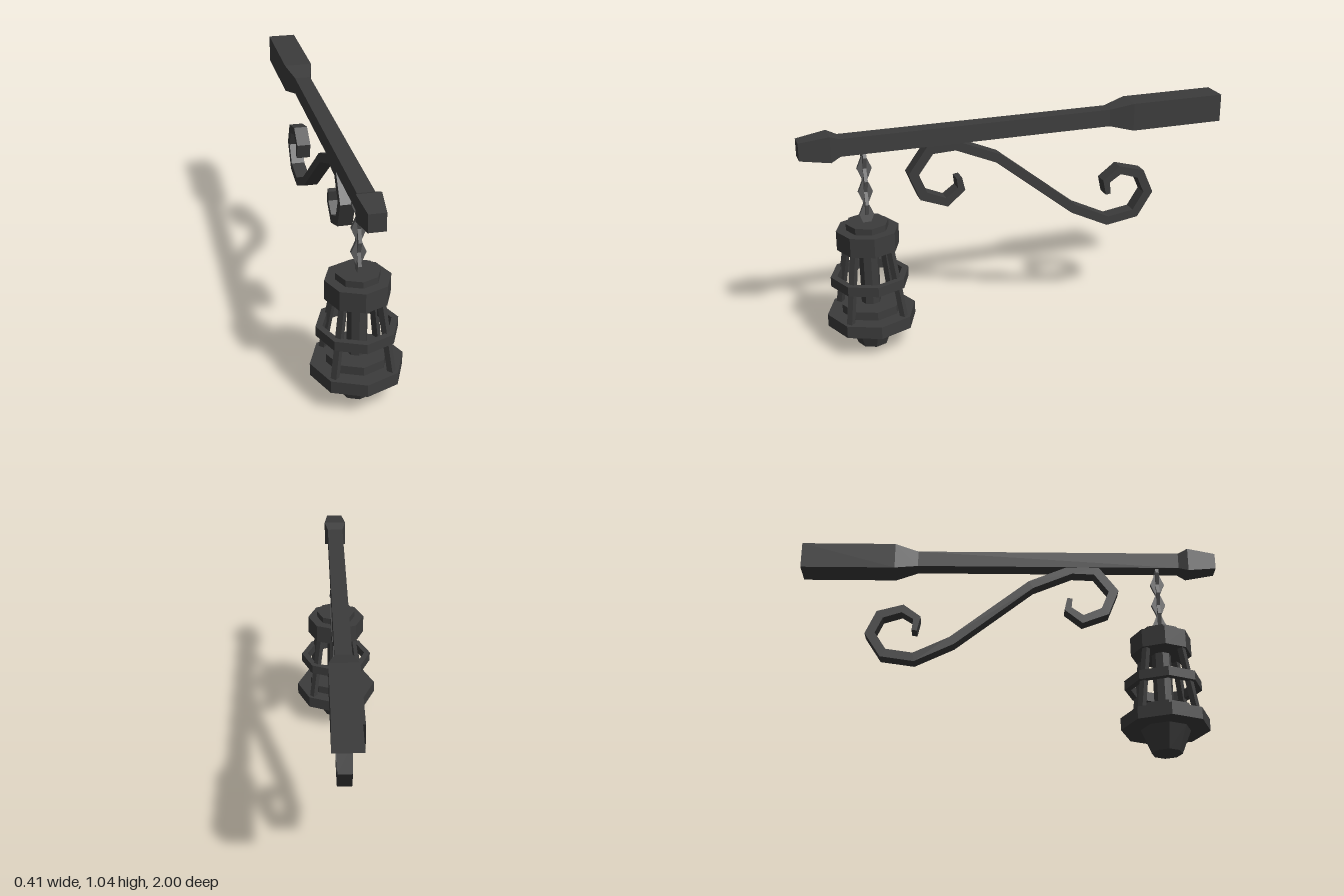
import * as THREE from 'three';

const iron = new THREE.MeshStandardMaterial({ color: 0x3c3c3c, flatShading: true, side: THREE.DoubleSide });
const steel = new THREE.MeshStandardMaterial({ color: 0x5c5c5c, flatShading: true });

function add(parent, name, geometry, material = iron) {
  const mesh = new THREE.Mesh(geometry, material);
  mesh.name = name;
  parent.add(mesh);
  return mesh;
}

// Rectangular tube through sections [z, halfWidth, halfHeight]; open at the back, closed at the front
function beamGeometry(sections, cy) {
  const corners = [[1, -1], [1, 1], [-1, 1], [-1, -1]];
  const pos = [];
  const index = [];
  for (const [z, w, h] of sections)
    for (const [sx, sy] of corners) pos.push(sx * w, cy + sy * h, z);
  for (let s = 0; s < sections.length - 1; s++)
    for (let i = 0; i < 4; i++) {
      const a = s * 4 + i, b = s * 4 + (i + 1) % 4;
      index.push(a, b, b + 4, a, b + 4, a + 4);
    }
  const e = (sections.length - 1) * 4;
  index.push(e, e + 1, e + 2, e, e + 2, e + 3);
  const g = new THREE.BufferGeometry();
  g.setAttribute('position', new THREE.Float32BufferAttribute(pos, 3));
  g.setIndex(index);
  g.computeVertexNormals();
  return g;
}

// Flat bar following a path with mitred corners, narrower towards both ends
function scrollGeometry(path, half, depth) {
  const pts = path.map(p => new THREE.Vector2(...p));
  const left = [], right = [];
  const last = pts.length - 1;
  pts.forEach((p, i) => {
    const d1 = pts[Math.max(i, 1)].clone().sub(pts[Math.max(i, 1) - 1]).normalize();
    const j = Math.min(i, last - 1);
    const d2 = pts[j + 1].clone().sub(pts[j]).normalize();
    const t = d1.clone().add(d2).normalize();
    const taper = Math.min(1, 0.6 + 0.14 * Math.min(i, last - i));
    const k = half * taper / Math.max(0.6, t.dot(d1));
    const n = new THREE.Vector2(-t.y, t.x).multiplyScalar(k);
    left.push(p.clone().add(n));
    right.unshift(p.clone().sub(n));
  });
  const g = new THREE.ExtrudeGeometry(new THREE.Shape([...left, ...right]), { depth, bevelEnabled: false });
  return g.translate(0, 0, -depth / 2).rotateY(-Math.PI / 2);
}

// Eight-sided solid between two heights
function octagon(parent, name, y0, y1, r0, r1 = r0) {
  add(parent, name, new THREE.CylinderGeometry(r1, r0, y1 - y0, 8)).position.y = (y0 + y1) / 2;
}

export function createModel() {
  const root = new THREE.Group();
  root.name = 'hangingLantern';

  // Horizontal beam with thick socket and flared tip
  add(root, 'beam', beamGeometry([
    [-1, 0.065, 0.065], [-0.55, 0.065, 0.065], [-0.44, 0.037, 0.04],
    [0.82, 0.037, 0.04], [0.865, 0.052, 0.059], [1, 0.037, 0.04],
  ], 0.977));

  // S-shaped scroll bracket
  add(root, 'scrollBracket', scrollGeometry([
    [0.29, 0.77], [0.28, 0.715], [0.35, 0.66], [0.457, 0.703], [0.5, 0.81], [0.42, 0.92],
    [0.3, 0.925], [0.104, 0.842], [-0.27, 0.543], [-0.447, 0.457], [-0.59, 0.478],
    [-0.655, 0.58], [-0.612, 0.677], [-0.505, 0.709], [-0.436, 0.66], [-0.447, 0.595],
  ], 0.021, 0.066));

  const lantern = new THREE.Group();
  lantern.name = 'lantern';
  lantern.position.z = 0.715;
  root.add(lantern);

  // Chain of six-sided links, every other one turned a quarter
  const outline = [[-0.01, -0.055], [0.01, -0.055], [0.033, 0], [0.01, 0.055], [-0.01, 0.055], [-0.033, 0]];
  const link = new THREE.ExtrudeGeometry(
    new THREE.Shape(outline.map(p => new THREE.Vector2(...p))), { depth: 0.016, bevelEnabled: false });
  link.translate(0, 0, -0.008);
  for (let i = 0; i < 6; i++) {
    const mesh = add(lantern, 'chainLink', link, steel);
    mesh.position.y = 0.915 - i * 0.055;
    mesh.rotation.y = i % 2 ? Math.PI / 2 : 0;
  }

  // Cap, base and central candle column
  octagon(lantern, 'capTop', 0.575, 0.605, 0.097);
  octagon(lantern, 'cap', 0.485, 0.575, 0.143);
  octagon(lantern, 'column', 0.2, 0.49, 0.045);
  octagon(lantern, 'baseStep', 0.165, 0.21, 0.135);
  octagon(lantern, 'baseRim', 0.112, 0.17, 0.205);
  octagon(lantern, 'baseCup', 0, 0.112, 0.07, 0.115);

  // Open band around the cage
  const band = [[0.15, 0.31], [0.18, 0.31], [0.18, 0.355], [0.15, 0.355], [0.15, 0.31]];
  add(lantern, 'cageBand', new THREE.LatheGeometry(band.map(p => new THREE.Vector2(...p)), 8));

  // Four leaning cage posts
  const rTop = 0.115, rBottom = 0.173, yTop = 0.49, yBottom = 0.165;
  for (let i = 0; i < 4; i++) {
    const g = new THREE.BoxGeometry(0.027, yTop - yBottom, 0.027);
    const p = g.attributes.position;
    for (let v = 0; v < p.count; v++)
      p.setZ(v, p.getZ(v) + (p.getY(v) > 0 ? rTop : rBottom));
    g.computeVertexNormals();
    const post = add(lantern, 'cagePost', g);
    post.position.y = (yTop + yBottom) / 2;
    post.rotation.y = Math.PI / 4 + i * Math.PI / 2;
  }
  return root;
}
